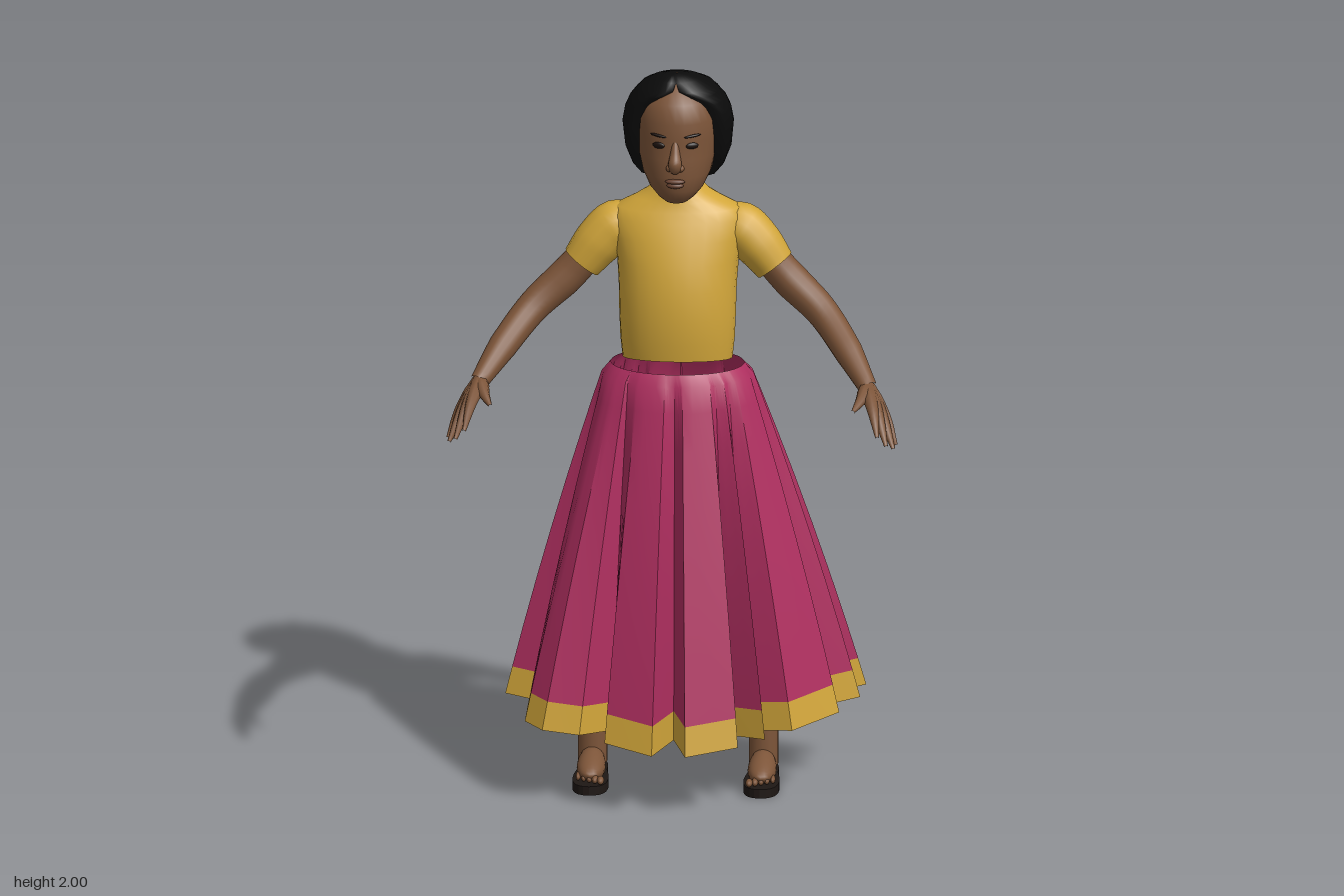
import * as THREE from 'three';
import { mergeVertices, toCreasedNormals } from 'three/addons/utils/BufferGeometryUtils.js';

const material = (name, color, side = THREE.FrontSide) => {
  const m = new THREE.MeshStandardMaterial({ color, side });
  m.name = name;
  return m;
};
const V = (x, y, z) => new THREE.Vector3(x, y, z);

// Smooth normals across seams
function smooth(geo) {
  geo.deleteAttribute('uv');
  geo.deleteAttribute('normal');
  const merged = mergeVertices(geo, 1e-5);
  merged.computeVertexNormals();
  return merged;
}

// Surface through rows of points, listed from bottom to top
function grid(rows) {
  const n = rows[0].length, index = [];
  for (let i = 0; i < rows.length - 1; i++) {
    for (let j = 0; j < n - 1; j++) {
      const a = i * n + j;
      index.push(a, a + 1, a + n, a + 1, a + n + 1, a + n);
    }
  }
  const geo = new THREE.BufferGeometry().setFromPoints(rows.flat());
  geo.setIndex(index);
  return geo;
}

// Rings: [y, half width, front z, back z, front tilt, half angle left open at the front]
function loft(rings, n = 28) {
  return smooth(grid(rings.map(([y, rx, zf, zb, tilt = 0, open = 0]) => {
    const row = [];
    for (let j = 0; j <= n; j++) {
      const a = open + (j / n) * (Math.PI * 2 - 2 * open);
      const k = open && (j === 0 || j === n) ? 0.82 : 1; // tuck the open edge inward
      row.push(V(k * rx * Math.sin(a), y + tilt * Math.cos(a),
        (zf + zb) / 2 + k * (zf - zb) / 2 * Math.cos(a)));
    }
    return row;
  })));
}

// Tube whose radius follows a list spaced evenly along the path
function limb(points, radii, segments = 16, sides = 14) {
  const curve = new THREE.CatmullRomCurve3(points);
  const geo = new THREE.TubeGeometry(curve, segments, 1, sides);
  const pos = geo.attributes.position, p = V(0, 0, 0);
  for (let i = 0; i <= segments; i++) {
    const c = curve.getPointAt(i / segments), u = (i / segments) * (radii.length - 1);
    const k = Math.min(Math.floor(u), radii.length - 2);
    const r = THREE.MathUtils.lerp(radii[k], radii[k + 1], u - k);
    for (let j = 0; j <= sides; j++) {
      const v = i * (sides + 1) + j;
      p.fromBufferAttribute(pos, v).sub(c).multiplyScalar(r).add(c);
      pos.setXYZ(v, p.x, p.y, p.z);
    }
  }
  return smooth(geo);
}

export function createModel() {
  const model = new THREE.Group();
  const skin = material('brown skin', 0x7d5539);
  const hair = material('black hair', 0x0b0b0b, THREE.DoubleSide);
  const gold = material('mustard cloth', 0xd2a63a, THREE.DoubleSide);
  const pink = material('magenta cloth', 0xb02f60, THREE.DoubleSide);
  const sole = material('dark sole', 0x1e1714);
  const dark = material('eye dark', 0x1a100c);
  const lip = material('lip brown', 0x65402f);

  const add = (name, geo, mat, parent = model) => {
    const m = new THREE.Mesh(geo, mat);
    m.name = name;
    parent.add(m);
    return m;
  };
  const blob = (name, mat, pos, scale, parent) => {
    const m = add(name, new THREE.SphereGeometry(1, 16, 12), mat, parent);
    m.position.set(...pos);
    m.scale.set(...scale);
    return m;
  };

  // Pleated skirt: corners of the folded hem as [x, z], front round to the left
  const hem = [[0, .21], [.04, .38], [.18, .34], [.14, .21], [.25, .29], [.2, .19], [.32, .235],
    [.44, .11], [.36, .05], [.49, -.01], [.36, -.05], [.5, -.12], [.44, -.145], [.22, -.12],
    [.23, -.34], [.12, -.24], [.005, -.38], [0, -.22], [-.11, -.24], [-.165, -.33], [-.22, -.35],
    [-.17, -.2], [-.3, -.29], [-.22, -.17], [-.41, -.255], [-.31, -.1], [-.465, 0], [-.36, .03],
    [-.4, .1], [-.4, .22], [-.35, .28], [-.25, .28], [-.17, .2], [-.18, .32], [-.05, .38]];
  const skirtRow = (t) => {
    const row = [], f = t * (1.15 - 0.15 * t);
    for (let i = 0; i <= hem.length * 3; i++) {
      const k = Math.floor(i / 3) % hem.length, [ax, az] = hem[k], [bx, bz] = hem[(k + 1) % hem.length];
      const x = ax + (bx - ax) * (i % 3) / 3, z = az + (bz - az) * (i % 3) / 3;
      const a = Math.atan2(x, z), w = t === 0 ? 0.92 : 1;
      const wx = 0.195 * w * Math.sin(a), wz = 0.025 + 0.135 * w * Math.cos(a);
      const low = 0.17 + 0.125 * Math.abs(x);
      row.push(V(wx + (x - wx) * f, 1.18 + (low - 1.18) * t, wz + (z - wz) * f));
    }
    return row;
  };
  const cloth = (ts) => toCreasedNormals(grid(ts.map(skirtRow)), 0.6);
  add('skirt', cloth([.92, .8, .65, .5, .35, .2, .1, .03, 0]), pink);
  add('skirtBorder', cloth([1, .92]), gold);

  // Shirt body
  add('shirt', loft([
    [1.193, .148, .13, -.082, .017], [1.25, .154, .136, -.09, .008], [1.32, .157, .14, -.1],
    [1.40, .159, .135, -.112], [1.47, .164, .118, -.12], [1.53, .178, .098, -.122],
    [1.58, .185, .076, -.118], [1.607, .168, .062, -.112], [1.632, .118, .052, -.1],
    [1.652, .085, .05, -.084, -.006], [1.672, .066, .045, -.07, -.012]]), gold);
  add('neck', loft([[1.58, .075, .05, -.07], [1.66, .06, .048, -.065], [1.74, .06, .06, -.065]]), skin);

  // Head and face
  const head = new THREE.Group();
  head.name = 'head';
  model.add(head);
  add('face', loft([
    [1.645, .002, .085, .08], [1.65, .03, .105, .04], [1.665, .05, .122, .01], [1.69, .072, .135, -.02],
    [1.73, .092, .143, -.06], [1.78, .104, .141, -.09], [1.83, .11, .138, -.1], [1.88, .11, .142, -.1],
    [1.93, .1, .126, -.1], [1.97, .07, .09, -.07], [1.985, .002, .03, .02]]), skin, head);
  add('nose', limb([V(0, 1.83, .13), V(0, 1.795, .142), V(0, 1.765, .151), V(0, 1.752, .135)],
    [.008, .013, .019, .012]), skin, head);
  blob('upperLip', lip, [0, 1.723, .143], [.027, .007, .011], head);
  blob('lowerLip', lip, [0, 1.711, .14], [.023, .008, .012], head);
  for (const s of [-1, 1]) {
    blob('nostril', skin, [s * .014, 1.76, .142], [.011, .01, .012], head);
    blob('eye', dark, [s * .045, 1.82, .127], [.018, .009, .006], head).rotation.y = s * .35;
    const brow = blob('eyebrow', dark, [s * .046, 1.848, .128], [.024, .004, .005], head);
    brow.rotation.set(0, s * .35, s * .12);
  }

  // Hair cap, open around the face
  add('hairCap', loft([
    [1.685, .055, .03, -.06, 0, 1.5], [1.70, .1, .06, -.11, 0, 1.25], [1.73, .124, .09, -.138, 0, 1.05],
    [1.78, .143, .115, -.15, 0, .85], [1.85, .15, .13, -.152, 0, .78], [1.89, .143, .135, -.149, 0, .74],
    [1.92, .13, .135, -.14, 0, .64], [1.945, .112, .13, -.115, 0, .42], [1.962, .098, .118, -.09, 0, .1],
    [1.985, .066, .095, -.03], [1.998, .035, .07, .02], [2, .001, .05, .045]], 32), hair, head);

  // Braid of paired, tilted lobes
  const braid = new THREE.Group();
  braid.name = 'braid';
  model.add(braid);
  const braidPath = new THREE.CatmullRomCurve3([V(0, 1.71, -.115), V(0, 1.64, -.135),
    V(0, 1.56, -.152), V(0, 1.48, -.168), V(0, 1.4, -.172), V(0, 1.32, -.16), V(0, 1.26, -.15)]);
  for (let i = 0; i < 24; i++) {
    const u = i / 26, s = i % 2 ? 1 : -1, r = .036 - .02 * u, p = braidPath.getPointAt(u);
    blob('braidLobe', hair, [s * r * .55, p.y, p.z], [r * .8, r * 1.05, r * .85], braid).rotation.z = s * -.7;
  }
  add('braidTail', limb([V(0, 1.35, -.166), V(0, 1.31, -.159), V(0, 1.26, -.15)], [.012, .018, .002], 8, 8), hair, braid);

  // Sandal outline, drawn with toes toward -y so it lies flat facing +z
  const outline = new THREE.Shape();
  outline.moveTo(0, .07);
  outline.bezierCurveTo(.045, .07, .042, .02, .04, -.02);
  outline.bezierCurveTo(.052, -.09, .06, -.18, 0, -.18);
  outline.bezierCurveTo(-.06, -.18, -.052, -.09, -.04, -.02);
  outline.bezierCurveTo(-.042, .02, -.045, .07, 0, .07);

  for (const s of [-1, 1]) {
    const side = s > 0 ? 'left' : 'right';
    const P = (x, y, z) => V(s * x, y, z);

    // Sleeve and arm
    add(side + 'Sleeve', limb([P(.1, 1.555, -.03), P(.165, 1.545, -.03), P(.215, 1.5, -.022), P(.26, 1.443, -.015)],
      [.05, .07, .066, .056]), gold);
    add(side + 'Arm', limb([P(.22, 1.495, -.02), P(.3, 1.405, -.015), P(.385, 1.33, .02), P(.455, 1.255, .1),
      P(.525, 1.17, .21)], [.046, .049, .043, .039, .025], 24), skin);

    // Hand: each finger runs from wrist through knuckle to tip
    const fingers = [
      [[.543, 1.128, .302], [.556, 1.078, .358]], [[.555, 1.118, .287], [.58, 1.052, .352]],
      [[.566, 1.108, .27], [.598, 1.037, .325]], [[.574, 1.101, .252], [.603, 1.037, .288]],
      [[.508, 1.155, .262], [.488, 1.135, .31]]];
    for (const [knuckle, tip] of fingers) {
      add(side + 'Finger', limb([P(.522, 1.173, .205), P(...knuckle), P(...tip)],
        [.021, .021, .016, .011, .005], 12, 8), skin);
    }

    // Leg, foot and sandal
    add(side + 'Leg', limb([P(.17, .75, 0), P(.2, .5, 0), P(.222, .3, -.015), P(.23, .16, -.01), P(.23, .04, -.01)],
      [.075, .062, .054, .04, .04], 20), skin);
    const foot = new THREE.SphereGeometry(1, 24, 16);
    const pos = foot.attributes.position;
    for (let i = 0; i < pos.count; i++) {
      const z = pos.getZ(i), taper = 1 - .38 * Math.max(0, z);
      pos.setXYZ(i, pos.getX(i) * (.038 + .007 * z), Math.max(-.022, pos.getY(i) * .045 * taper), z * .108);
    }
    add(side + 'Foot', smooth(foot), skin).position.set(s * .23, .046, .047);
    for (let i = 0; i < 5; i++) {
      blob(side + 'Toe', skin, [s * (.2 + i * .0155), .036, .155 - i * .009],
        [.0095 - i * .0007, .011, .02]).name = side + 'Toe';
    }
    const slab = new THREE.ExtrudeGeometry(outline, { depth: .025, bevelEnabled: false, curveSegments: 10 });
    slab.rotateX(-Math.PI / 2);
    add(side + 'Sole', slab, sole).position.x = s * .23;
  }
  return model;
}
